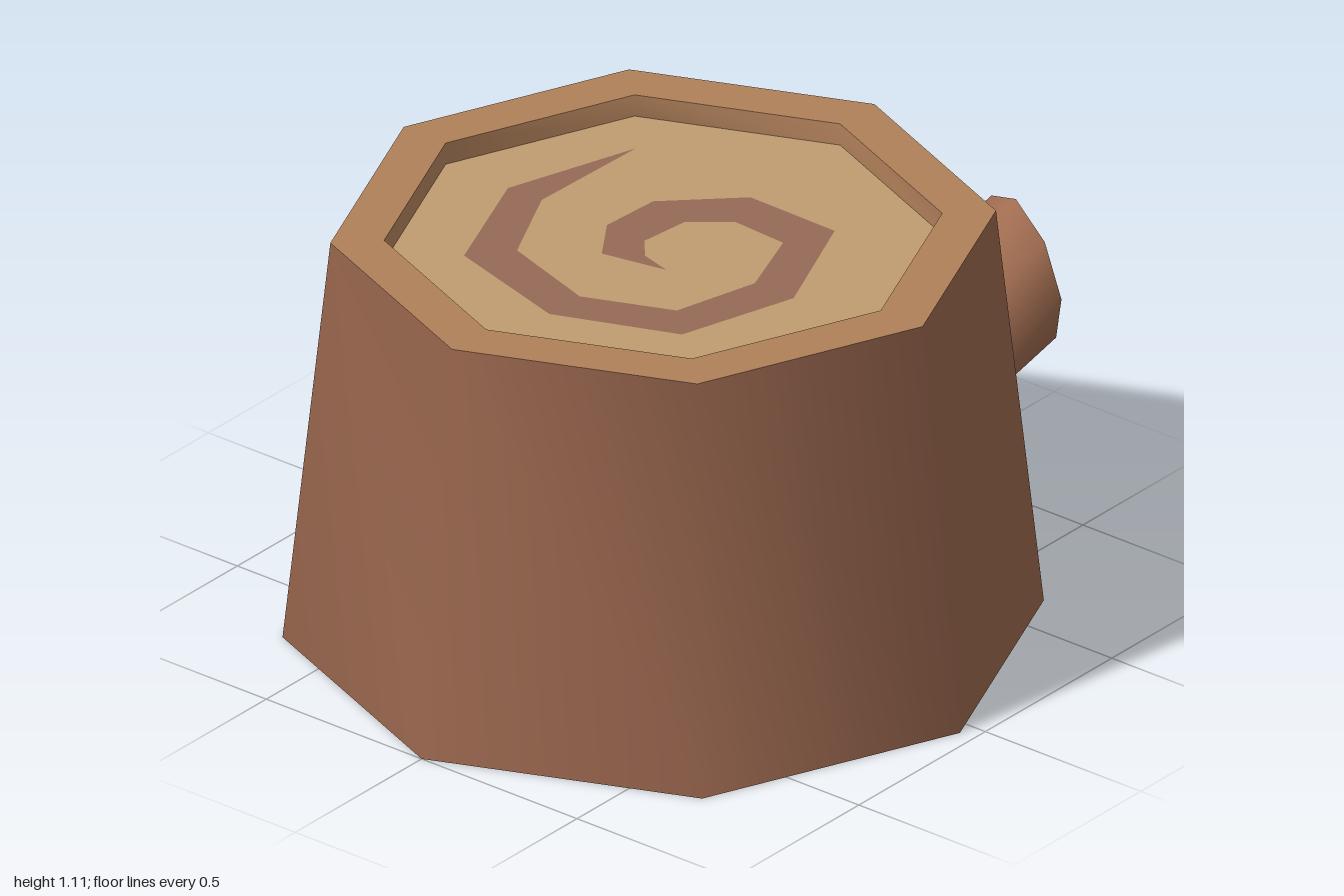
import * as THREE from 'three';
import { toCreasedNormals } from 'three/addons/utils/BufferGeometryUtils.js';

const SIDES = 8;
const CX = -0.045; // trunk axis, off centre because the branch sticks out on +x
const HEIGHT = 1.11;
const FLOOR = 1.05; // cut face sunk below the rim

const BARK = 0x96644c, RIM = 0xb0805a, WOOD = 0xbf9b70, RING = 0x956a55, BRANCH = 0xa06c50;

function part(name, geometry, color) {
  const mesh = new THREE.Mesh(geometry, new THREE.MeshStandardMaterial({ color }));
  mesh.name = name;
  return mesh;
}

// Eight-sided revolved surface from [radius, height] pairs
function turned(profile) {
  return new THREE.LatheGeometry(profile.map(([r, y]) => new THREE.Vector2(r, y)), SIDES);
}

// Flat horizontal face from a shape drawn in (x, -z)
function flat(shape, y) {
  return new THREE.ShapeGeometry(shape).rotateX(-Math.PI / 2).translate(0, y, 0);
}

export function createModel() {
  const stump = new THREE.Group();
  stump.name = 'treeStump';

  // Trunk: tapered bark, raised rim and underside
  const bark = toCreasedNormals(turned([[0.955, 0], [0.835, HEIGHT]]), 1);
  const rim = toCreasedNormals(turned([[0.835, HEIGHT], [0.7, HEIGHT], [0.7, FLOOR]]), 1);
  const base = new THREE.CircleGeometry(0.955, SIDES).rotateX(Math.PI / 2);
  stump.add(
    part('bark', bark.translate(CX, 0, 0), BARK),
    part('rim', rim.translate(CX, 0, 0), RIM),
    part('underside', base.translate(CX, 0, 0), 0x6b4238)
  );

  // Growth ring spiral: outer edge inwards, then inner edge back out
  const spiral = [
    [0.32, -0.385], [-0.045, -0.5], [-0.39, -0.36], [-0.495, 0], [-0.37, 0.325], [-0.045, 0.42],
    [0.295, 0.275], [0.3, 0], [0.13, -0.175], [-0.04, -0.185], [-0.165, -0.1], [-0.13, 0.08],
    [-0.105, -0.01], [-0.045, -0.06], [0.095, -0.045], [0.175, 0.055], [0.165, 0.215],
    [-0.045, 0.295], [-0.28, 0.235], [-0.375, 0], [-0.285, -0.275], [-0.04, -0.395],
  ].map(([x, z]) => new THREE.Vector2(x, -z));

  // Cut face, with the spiral inlaid flush
  const octagon = Array.from({ length: SIDES }, (_, i) => {
    const a = (i / SIDES) * Math.PI * 2;
    return new THREE.Vector2(CX + 0.7 * Math.cos(a), 0.7 * Math.sin(a));
  });
  const face = new THREE.Shape(octagon);
  face.holes.push(new THREE.Path(spiral));
  stump.add(
    part('cutFace', flat(face, FLOOR), WOOD),
    part('growthRing', flat(new THREE.Shape(spiral), FLOOR), RING)
  );

  // Cut branch: both ends parallel to the trunk side, sheared upwards (local y runs 0 to 1)
  const shear = new THREE.Matrix4().makeBasis(
    new THREE.Vector3(-0.106, 0.994, -0.044),
    new THREE.Vector3(0.205, 0.118, 0.06),
    new THREE.Vector3(0.383, 0, -0.924)
  ).setPosition(0.715, 0.605, 0.315);
  const tube = turned([[0.198, 0], [0.198, 1], [0.163, 1], [0.163, 0.8]]).applyMatrix4(shear);
  const cap = new THREE.CircleGeometry(0.163, SIDES).rotateX(-Math.PI / 2).translate(0, 0.8, 0);

  const branch = new THREE.Group();
  branch.name = 'branch';
  branch.add(
    part('branchBark', toCreasedNormals(tube, 1), BRANCH),
    part('branchCutFace', cap.applyMatrix4(shear), WOOD)
  );
  stump.add(branch);

  return stump;
}
